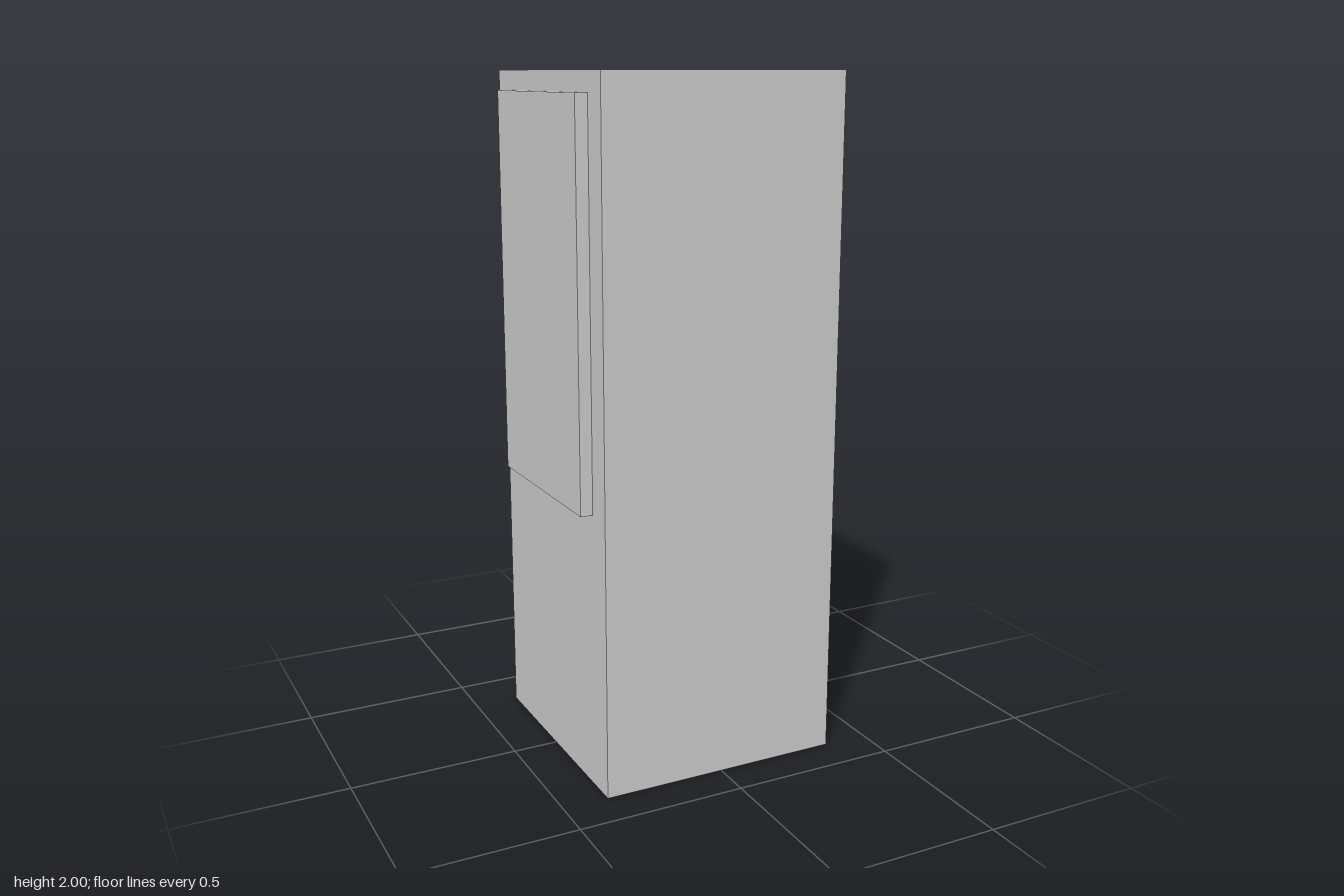
import * as THREE from 'three';

const WIDTH = 0.73;        // square plan of the body
const HEIGHT = 2;
const BODY_Z = 0.0175;     // body sits forward to balance the back panel
const PANEL = { width: 0.566, height: 1.128, depth: 0.036, y: 1.379 };

export function createModel() {
  const group = new THREE.Group();
  const material = new THREE.MeshStandardMaterial({ color: 0xcccccc, flatShading: true });

  // Main upright block
  const body = new THREE.Mesh(new THREE.BoxGeometry(WIDTH, HEIGHT, WIDTH), material);
  body.name = 'body';
  body.position.set(0, HEIGHT / 2, BODY_Z);
  group.add(body);

  // Raised panels on the left, right and back faces; the front stays plain
  const panelGeometry = new THREE.BoxGeometry(PANEL.width, PANEL.height, PANEL.depth);
  const offset = (WIDTH + PANEL.depth) / 2;
  const sides = { leftPanel: Math.PI / 2, backPanel: Math.PI, rightPanel: -Math.PI / 2 };
  for (const [name, angle] of Object.entries(sides)) {
    const panel = new THREE.Mesh(panelGeometry, material);
    panel.name = name;
    panel.rotation.y = angle;
    panel.position.set(Math.sin(angle) * offset, PANEL.y, BODY_Z + Math.cos(angle) * offset);
    group.add(panel);
  }

  return group;
}
